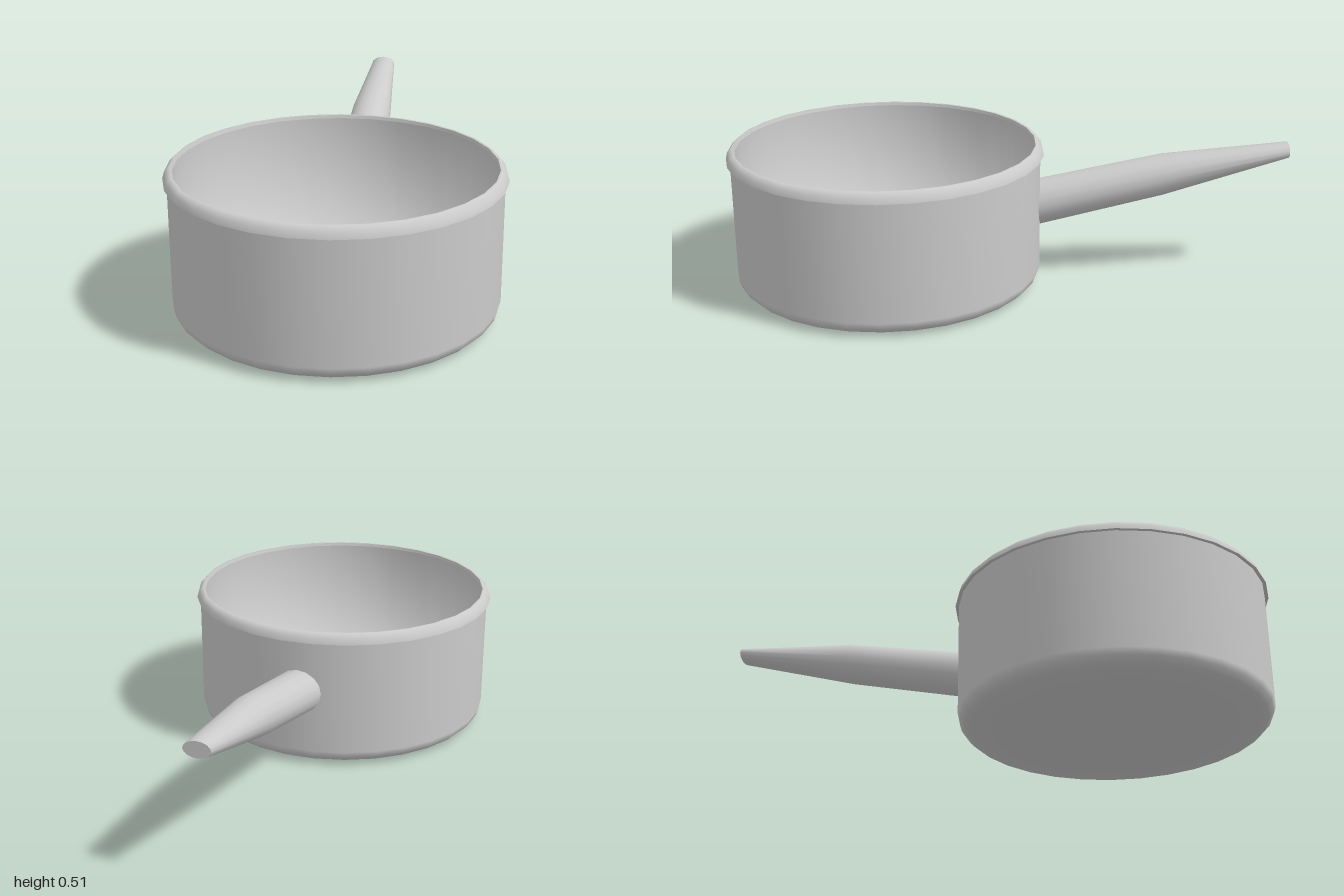
import * as THREE from 'three';
import { toCreasedNormals } from 'three/addons/utils/BufferGeometryUtils.js';

const SIDES = 30;
const material = new THREE.MeshStandardMaterial({ color: 0xcccccc });

function add(group, name, geometry) {
  const mesh = new THREE.Mesh(geometry, material);
  mesh.name = name;
  group.add(mesh);
}

// Turned surface, rotated so that a corner lies on each side
function turned(points) {
  const profile = points.map(([r, y]) => new THREE.Vector2(r, y));
  return new THREE.LatheGeometry(profile, SIDES, Math.PI / SIDES, Math.PI * 2);
}

// Tapered handle: elliptical sections running backwards and up
function handleGeometry() {
  // z, centre height, half width, half height
  const sections = [
    [-0.095, 0.28, 0.086, 0.083],
    [-0.55, 0.38, 0.077, 0.075],
    [-1, 0.468, 0.046, 0.028],
  ];
  const geometry = new THREE.CylinderGeometry(1, 1, 1, 16, sections.length - 1);
  geometry.rotateX(-Math.PI / 2);
  const pos = geometry.attributes.position;
  for (let i = 0; i < pos.count; i++) {
    const k = Math.round((0.5 - pos.getZ(i)) * (sections.length - 1));
    const [z, y, w, h] = sections[k];
    pos.setXYZ(i, pos.getX(i) * w, y + pos.getY(i) * h, z);
  }
  return toCreasedNormals(geometry, 0.8);
}

export function createModel() {
  const model = new THREE.Group();
  model.name = 'saucepan';

  const pot = new THREE.Group();
  pot.name = 'pot';
  pot.position.z = 0.441;
  model.add(pot);

  // Outer wall with rounded bottom edge
  add(pot, 'outerWall', turned([
    [0, 0], [0.35, 0.001], [0.495, 0.005], [0.525, 0.014], [0.543, 0.032], [0.55, 0.055], [0.55, 0.48],
  ]));
  // Hollow inside and floor
  add(pot, 'innerWall', turned([[0.53, 0.5], [0.53, 0.03], [0, 0.03]]));
  // Rolled lip
  add(pot, 'rim', toCreasedNormals(turned([
    [0.548, 0.475], [0.5625, 0.475], [0.557, 0.495], [0.542, 0.511], [0.533, 0.511], [0.53, 0.5],
  ]), 0.9));

  add(model, 'handle', handleGeometry());
  return model;
}
